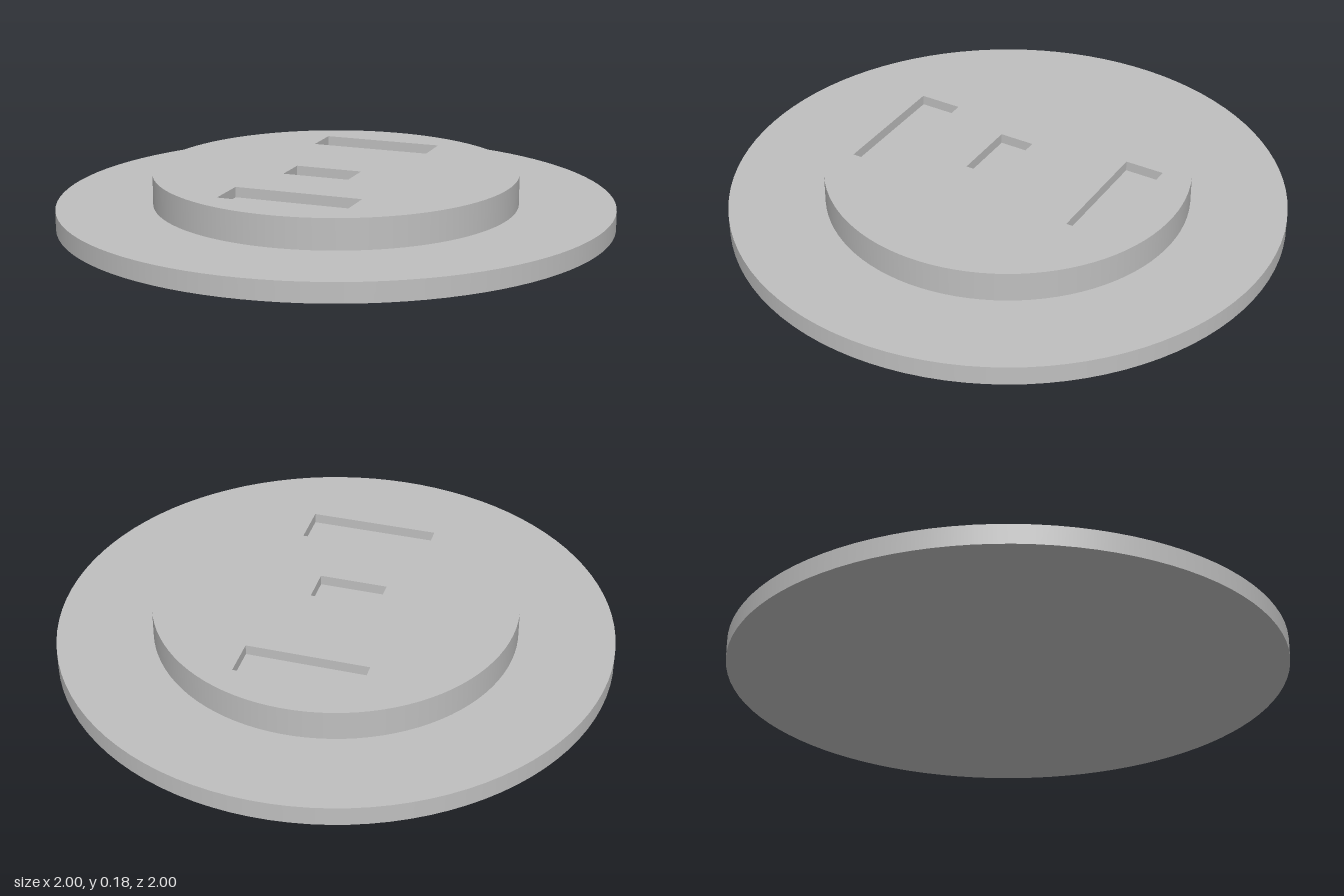
import * as THREE from 'three';

const SEGMENTS = 96;
const BASE_TOP = 0.07;
const BOSS_TOP = 0.18;
const BOSS_RADIUS = 0.655;
const POCKET_DEPTH = 0.037;

// Rectangular recesses in the raised disc: x and z limits
const POCKETS = [
  { name: 'backPocket', x0: -0.225, x1: 0.22, z0: -0.503, z1: -0.359 },
  { name: 'middlePocket', x0: -0.155, x1: 0.091, z0: -0.011, z1: 0.118 },
  { name: 'frontPocket', x0: -0.236, x1: 0.23, z0: 0.353, z1: 0.509 },
];

// Open-topped box whose faces look inward
function pocketGeometry(width, depth, length) {
  const geometry = new THREE.BoxGeometry(width, depth, length);
  const index = Array.from(geometry.index.array);
  index.splice(12, 6); // remove the lid
  geometry.setIndex(index.reverse());
  geometry.clearGroups();
  geometry.computeVertexNormals();
  return geometry;
}

export function createModel() {
  const model = new THREE.Group();
  model.name = 'steppedDisc';
  const grey = new THREE.MeshStandardMaterial({ color: 0xbfbfbf });
  grey.name = 'plain grey';

  const add = (name, geometry, x = 0, y = 0, z = 0) => {
    const mesh = new THREE.Mesh(geometry, grey);
    mesh.name = name;
    mesh.position.set(x, y, z);
    model.add(mesh);
  };

  // Wide flat base
  add('baseDisc', new THREE.CylinderGeometry(1, 1, BASE_TOP, SEGMENTS), 0, BASE_TOP / 2);

  // Wall of the raised disc
  const wallHeight = BOSS_TOP - BASE_TOP;
  add('raisedDiscWall',
    new THREE.CylinderGeometry(BOSS_RADIUS, BOSS_RADIUS, wallHeight, SEGMENTS, 1, true),
    0, BASE_TOP + wallHeight / 2);

  // Top face of the raised disc, with pocket openings
  const face = new THREE.Shape();
  face.absarc(0, 0, BOSS_RADIUS, 0, Math.PI * 2, false);
  for (const { x0, x1, z0, z1 } of POCKETS) {
    face.holes.push(new THREE.Path([
      new THREE.Vector2(x0, -z0), new THREE.Vector2(x1, -z0),
      new THREE.Vector2(x1, -z1), new THREE.Vector2(x0, -z1),
    ]));
  }
  const faceGeometry = new THREE.ShapeGeometry(face, SEGMENTS / 2);
  faceGeometry.rotateX(-Math.PI / 2);
  add('raisedDiscTop', faceGeometry, 0, BOSS_TOP);

  // Walls and floors of the pockets
  for (const { name, x0, x1, z0, z1 } of POCKETS) {
    add(name, pocketGeometry(x1 - x0, POCKET_DEPTH, z1 - z0),
      (x0 + x1) / 2, BOSS_TOP - POCKET_DEPTH / 2, (z0 + z1) / 2);
  }

  return model;
}
